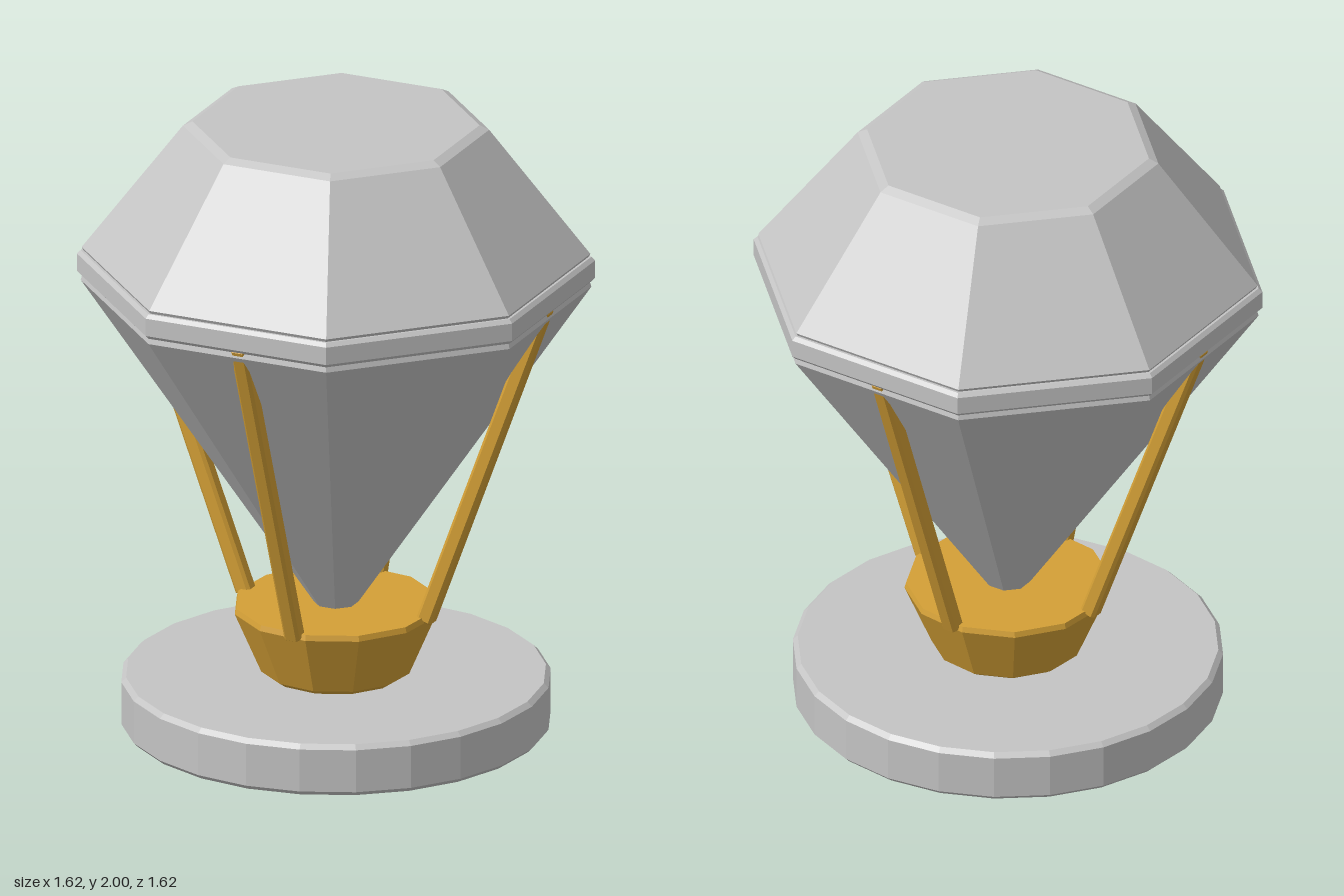
import * as THREE from 'three';

const stone = new THREE.MeshStandardMaterial({ color: 0xc4c4c4 });
stone.name = 'silver grey';
const gold = new THREE.MeshStandardMaterial({ color: 0xd4a036 });
gold.name = 'gold';

// Faceted solid of revolution from a bottom-to-top [radius, y] profile
function faceted(name, profile, sides, material, turn = 0) {
  const points = profile.map(([r, y]) => new THREE.Vector2(r, y));
  const geometry = new THREE.LatheGeometry(points, sides, turn).toNonIndexed();
  geometry.computeVertexNormals();
  const mesh = new THREE.Mesh(geometry, material);
  mesh.name = name;
  return mesh;
}

// Square bar with chamfered edges, standing on its lower end
function barGeometry(length) {
  const h = 0.021, c = 0.006, b = 0.006;
  const shape = new THREE.Shape([
    [h, c - h], [h, h - c], [h - c, h], [c - h, h],
    [-h, h - c], [-h, c - h], [c - h, -h], [h - c, -h],
  ].map(([x, y]) => new THREE.Vector2(x, y)));
  const geometry = new THREE.ExtrudeGeometry(shape, {
    depth: length - 2 * b, bevelEnabled: true, bevelThickness: b, bevelSize: b, bevelSegments: 1,
  });
  return geometry.translate(0, 0, b).rotateX(-Math.PI / 2);
}

export function createModel() {
  const model = new THREE.Group();
  model.name = 'gemTrophy';

  // Round base and tapered cup
  model.add(faceted('base', [
    [0, 0], [0.66, 0], [0.675, 0.015], [0.675, 0.155], [0.66, 0.17], [0, 0.17],
  ], 24, stone, Math.PI / 24));
  model.add(faceted('cup', [
    [0, 0.17], [0.215, 0.17], [0.24, 0.187], [0.325, 0.385], [0.32, 0.403], [0, 0.403],
  ], 12, gold));

  // Eight-sided gem
  const gem = new THREE.Group();
  gem.name = 'gem';
  gem.add(faceted('pavilion', [
    [0, 0.3], [0.8, 1.465], [0.795, 1.483], [0, 1.483],
  ], 8, stone));
  gem.add(faceted('girdle', [
    [0, 1.483], [0.8, 1.483], [0.812, 1.495], [0.812, 1.553], [0.8, 1.565], [0, 1.565],
  ], 8, stone));
  gem.add(faceted('crown', [
    [0, 1.562], [0.79, 1.562], [0.797, 1.575], [0.48, 1.985], [0.45, 2], [0, 2],
  ], 8, stone));
  model.add(gem);

  // Four leaning prongs, each centred on a gem facet
  const foot = new THREE.Vector2(0.31, 0.388);
  const tip = new THREE.Vector2(0.718, 1.497);
  const bar = barGeometry(foot.distanceTo(tip));
  bar.rotateX(Math.atan2(tip.x - foot.x, tip.y - foot.y)).translate(0, foot.y, foot.x);
  for (let i = 0; i < 4; i++) {
    const prong = new THREE.Mesh(bar, gold);
    prong.name = `prong${i + 1}`;
    prong.rotation.y = Math.PI / 8 + (i * Math.PI) / 2;
    model.add(prong);
  }
  return model;
}
